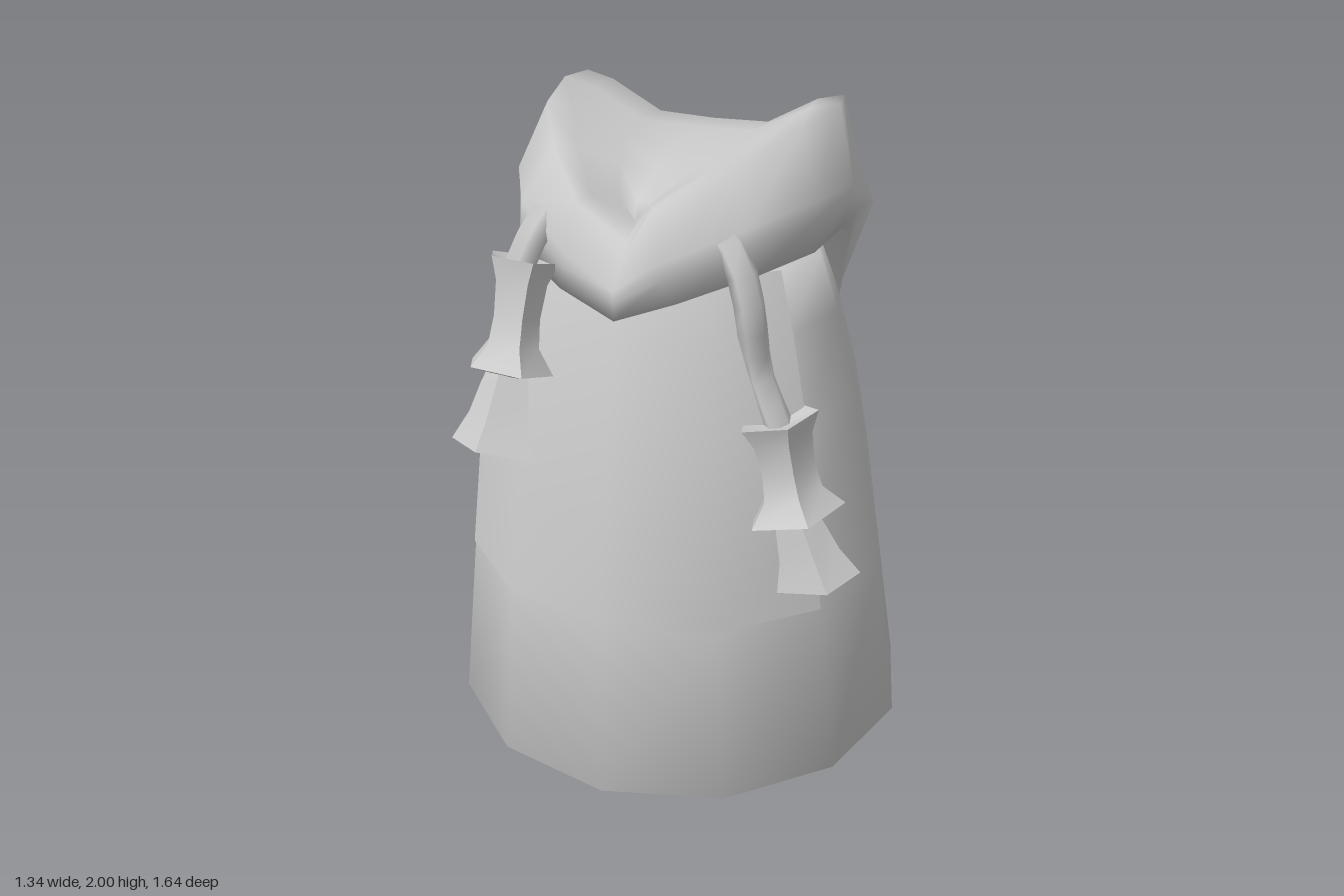
import * as THREE from 'three';
import { mergeVertices, toCreasedNormals } from 'three/addons/utils/BufferGeometryUtils.js';

const material = new THREE.MeshStandardMaterial({ color: 0xcccccc, side: THREE.DoubleSide });
const V = (x, y, z) => new THREE.Vector3(x, y, z);

function mesh(name, geometry) {
  const m = new THREE.Mesh(geometry, material);
  m.name = name;
  return m;
}

// Smooth skin over rows of points, ordered bottom to top and counter-clockwise from above
function skin(rows, closed) {
  const n = rows[0].length, index = [];
  for (let i = 0; i < rows.length - 1; i++) {
    for (let j = 0; j < (closed ? n : n - 1); j++) {
      const k = (j + 1) % n;
      const a = i * n + j, b = i * n + k, c = (i + 1) * n + k, d = (i + 1) * n + j;
      index.push(a, b, c, a, c, d);
    }
  }
  let g = new THREE.BufferGeometry().setFromPoints(rows.flat());
  g.setIndex(index);
  g = mergeVertices(g, 1e-4);
  g.computeVertexNormals();
  return g;
}

// Body rings: height, half width, front z, back z, hem tilt
const RINGS = [
  [0, 0.001, 0.111, 0.109, 0],
  [0.033, 0.21, 0.33, -0.1, 0],
  [0.085, 0.42, 0.54, -0.31, 0.015],
  [0.22, 0.67, 0.75, -0.51, 0.03],
  [0.72, 0.605, 0.72, -0.43, 0],
  [1.0, 0.57, 0.69, -0.37, 0],
  [1.25, 0.535, 0.645, -0.29, 0],
  [1.5, 0.475, 0.585, -0.2, 0],
  [1.66, 0.425, 0.53, -0.12, 0],
  [1.72, 0.001, 0.221, 0.219, 0],
];

function ring([y, rx, zf, zb, tilt], from, to, grow = 0) {
  const points = [];
  for (let j = from; j <= to; j++) {
    const a = (j * Math.PI) / 6;
    points.push(V((rx + grow) * Math.sin(a), y - tilt * Math.cos(a),
      (zf + zb) / 2 + ((zf - zb) / 2 + grow) * Math.cos(a)));
  }
  return points;
}

// Hood columns from front centre round the left side to back centre:
// lower edge, outer bulge, rim, inner fold
const HOOD = [
  [[0, 1.55, 0.59], [0, 1.63, 0.59], [0, 1.69, 0.53], [0, 1.77, 0.44]],
  [[0.16, 1.61, 0.565], [0.12, 1.72, 0.605], [0.1, 1.85, 0.575], [0.05, 1.82, 0.42]],
  [[0.33, 1.665, 0.45], [0.31, 1.79, 0.46], [0.25, 1.92, 0.38], [0.1, 1.87, 0.3]],
  [[0.42, 1.67, 0.24], [0.42, 1.81, 0.25], [0.36, 1.98, 0.18], [0.15, 1.89, 0.15]],
  [[0.44, 1.68, 0.06], [0.46, 1.79, 0.03], [0.4, 1.995, -0.02], [0.16, 1.9, -0.01]],
  [[0.41, 1.6, -0.14], [0.45, 1.72, -0.13], [0.38, 1.99, -0.13], [0.16, 1.89, -0.14]],
  [[0.34, 1.32, -0.26], [0.415, 1.62, -0.36], [0.35, 1.81, -0.32], [0.17, 1.8, -0.32]],
  [[0.26, 1.03, -0.42], [0.345, 1.5, -0.57], [0.29, 1.67, -0.55], [0.14, 1.69, -0.5]],
  [[0.15, 0.9, -0.41], [0.245, 1.47, -0.71], [0.2, 1.59, -0.68], [0.09, 1.62, -0.62]],
  [[0, 0.86, -0.405], [0, 1.49, -0.82], [0, 1.55, -0.81], [0, 1.61, -0.66]],
];

function hoodGeometry() {
  const columns = HOOD.map((column) => {
    const [edge, bulge, rim, fold] = column.map((p) => V(...p));
    const tuck = V(edge.x * 0.85, edge.y + 0.05, edge.z * 0.85 + 0.03);
    // The hanging back part is drawn in below its rim
    const inset = edge.y < 1.5 ? 0.95 : 1;
    const side = edge.clone().lerp(bulge, 0.63).multiply(V(inset, 1, inset));
    const crest = rim.clone().lerp(fold, 0.35);
    crest.y += 0.015;
    const spine = V(0, fold.y - 0.005, fold.z);
    return [tuck, edge, side, bulge, rim, crest, fold, spine];
  });
  const mirrored = columns.slice(1, -1).reverse()
    .map((column) => column.map((p) => V(-p.x, p.y, p.z)));
  const all = [...columns, ...mirrored];
  return skin(columns[0].map((_, i) => all.map((column) => column[i])), true);
}

// Turned piece running from one point to another; profile pairs are radius, fraction
function turned(profile, sides, from, to, twist, depth) {
  const axis = to.clone().sub(from), length = axis.length();
  const points = profile.map(([r, t]) => new THREE.Vector2(r, t * length));
  const g = new THREE.LatheGeometry(points.reverse(), sides);
  g.rotateY(twist);
  g.scale(1, 1, depth);
  g.applyQuaternion(new THREE.Quaternion().setFromUnitVectors(V(0, 1, 0), axis.normalize()));
  g.translate(from.x, from.y, from.z);
  return toCreasedNormals(g, 0.9);
}

const KNOT = [[0.001, 0.1], [0.105, 0], [0.08, 0.2], [0.072, 0.5], [0.08, 0.75],
  [0.13, 0.96], [0.06, 1], [0.001, 0.97]];
const TAIL = [[0.06, -0.1], [0.08, 0.2], [0.1, 0.6], [0.14, 1], [0.001, 0.85]];

// Cord with a flared knot and a splayed tail
function drawstring(name, path, knotTop, knotEnd, tailEnd, twist, depth) {
  const g = new THREE.Group();
  g.name = name;
  const curve = new THREE.CatmullRomCurve3(path.map((p) => V(...p)));
  g.add(mesh('cord', new THREE.TubeGeometry(curve, 8, 0.042, 5)));
  g.add(mesh('knot', turned(KNOT, 5, V(...knotTop), V(...knotEnd), twist, depth)));
  g.add(mesh('tail', turned(TAIL, 4, V(...knotEnd), V(...tailEnd), twist + 0.4, 0.7)));
  return g;
}

export function createModel() {
  const model = new THREE.Group();
  model.name = 'hoodedTop';
  model.add(mesh('body', skin(RINGS.map((r) => ring(r, 0, 11)), true)));
  // Front panel lies just over the body
  model.add(mesh('frontPanel', skin(RINGS.slice(4, 9).map((r) => ring(r, -2, 2, 0.004)), false)));
  model.add(mesh('hood', hoodGeometry()));
  model.add(drawstring('leftDrawstring',
    [[0.22, 1.78, 0.45], [0.29, 1.72, 0.48], [0.33, 1.6, 0.49], [0.345, 1.42, 0.46], [0.41, 1.26, 0.47]],
    [0.405, 1.3, 0.48], [0.465, 1.03, 0.49], [0.54, 0.85, 0.51], 0.3, 1.1));
  model.add(drawstring('rightDrawstring',
    [[-0.22, 1.78, 0.49], [-0.24, 1.73, 0.54], [-0.27, 1.64, 0.58]],
    [-0.26, 1.68, 0.57], [-0.275, 1.39, 0.655], [-0.29, 1.2, 0.73], 0.9, 0.8));
  return model;
}
